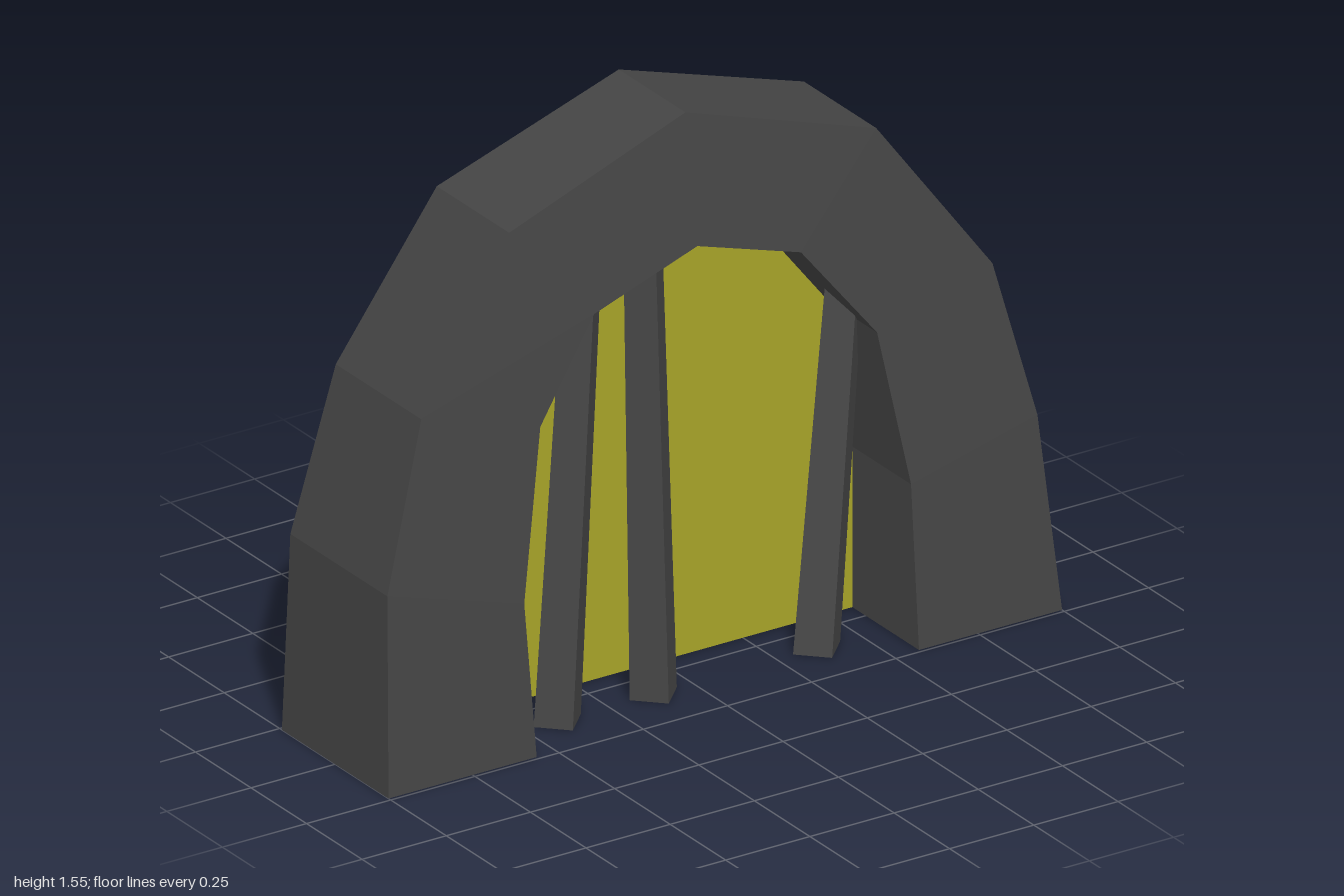
import * as THREE from 'three';

const BACK = -0.24, PANE_Z = -0.06;
const OUTER = [[-1, 0], [-0.975, 0.53], [-0.84, 0.96], [-0.54, 1.37], [0, 1.55],
  [0.55, 1.375], [0.855, 0.95], [0.955, 0.53], [1, 0]];
const INNER = [[-0.56, 0], [-0.575, 0.41], [-0.495, 0.855], [-0.315, 1.105], [0, 1.205],
  [0.3, 1.115], [0.505, 0.855], [0.575, 0.44], [0.575, 0]];

// depth of the leaning front face at a given height
const LEAN = [[0, 0.24], [0.53, 0.197], [0.96, 0.145], [1.2, 0.115], [1.37, 0.086], [1.55, 0.06]];
function frontZ(y) {
  const i = Math.max(1, LEAN.findIndex(p => p[0] >= y));
  const [y0, z0] = LEAN[i - 1], [y1, z1] = LEAN[i];
  return z0 + (z1 - z0) * (y - y0) / (y1 - y0);
}
const atFront = ([x, y]) => [x, y, frontZ(y)];
const atBack = ([x, y]) => [x, y, BACK];

// open strip of quads between two rows of points
function strip(rowA, rowB) {
  const index = [];
  const n = rowA.length;
  for (let i = 0; i < n - 1; i++) index.push(i, i + 1, n + i, i + 1, n + i + 1, n + i);
  const geo = new THREE.BufferGeometry();
  geo.setAttribute('position', new THREE.Float32BufferAttribute([...rowA, ...rowB].flat(), 3));
  geo.setIndex(index);
  geo.computeVertexNormals();
  return geo;
}

// four-sided bar set corner-on, tapered and sheared from its foot to its top
function barGeometry([footX, footZ], [topX, topY, topZ]) {
  const geo = new THREE.CylinderGeometry(0.057, 0.07, topY, 4);
  geo.translate(0, topY / 2, 0);
  const pos = geo.attributes.position;
  for (let i = 0; i < pos.count; i++) {
    const t = pos.getY(i) / topY;
    pos.setX(i, pos.getX(i) + THREE.MathUtils.lerp(footX, topX, t));
    pos.setZ(i, pos.getZ(i) + THREE.MathUtils.lerp(footZ, topZ, t));
  }
  geo.computeVertexNormals();
  return geo;
}

export function createModel() {
  const group = new THREE.Group();
  const stone = new THREE.MeshStandardMaterial({ color: 0x444444, flatShading: true, side: THREE.DoubleSide });
  const glow = new THREE.MeshStandardMaterial({ color: 0xa8a428, flatShading: true, side: THREE.DoubleSide });
  const add = (name, geo, mat, parent = group) => {
    const mesh = new THREE.Mesh(geo, mat);
    mesh.name = name;
    parent.add(mesh);
  };

  // arch shell, open at the back and bottom
  const arch = new THREE.Group();
  arch.name = 'arch';
  group.add(arch);
  add('archFront', strip(INNER.map(atFront), OUTER.map(atFront)), stone, arch);
  add('archOuterWall', strip(OUTER.map(atFront), OUTER.map(atBack)), stone, arch);
  add('archInnerWall', strip(INNER.map(atBack), INNER.map(atFront)), stone, arch);

  // pane closing the opening
  const pane = new THREE.ShapeGeometry(new THREE.Shape(INNER.map(p => new THREE.Vector2(...p))));
  add('pane', pane.translate(0, 0, PANE_Z), glow);

  // leaning bars in front of the pane
  const bars = [
    ['rightBar', -0.4, [-0.28, 1.17, 0.02]],
    ['middleBar', -0.115, [-0.108, 1.28, 0.03]],
    ['leftBar', 0.37, [0.5, 0.97, 0.02]],
  ];
  for (const [name, footX, top] of bars) add(name, barGeometry([footX, 0.09], top), stone);

  return group;
}
